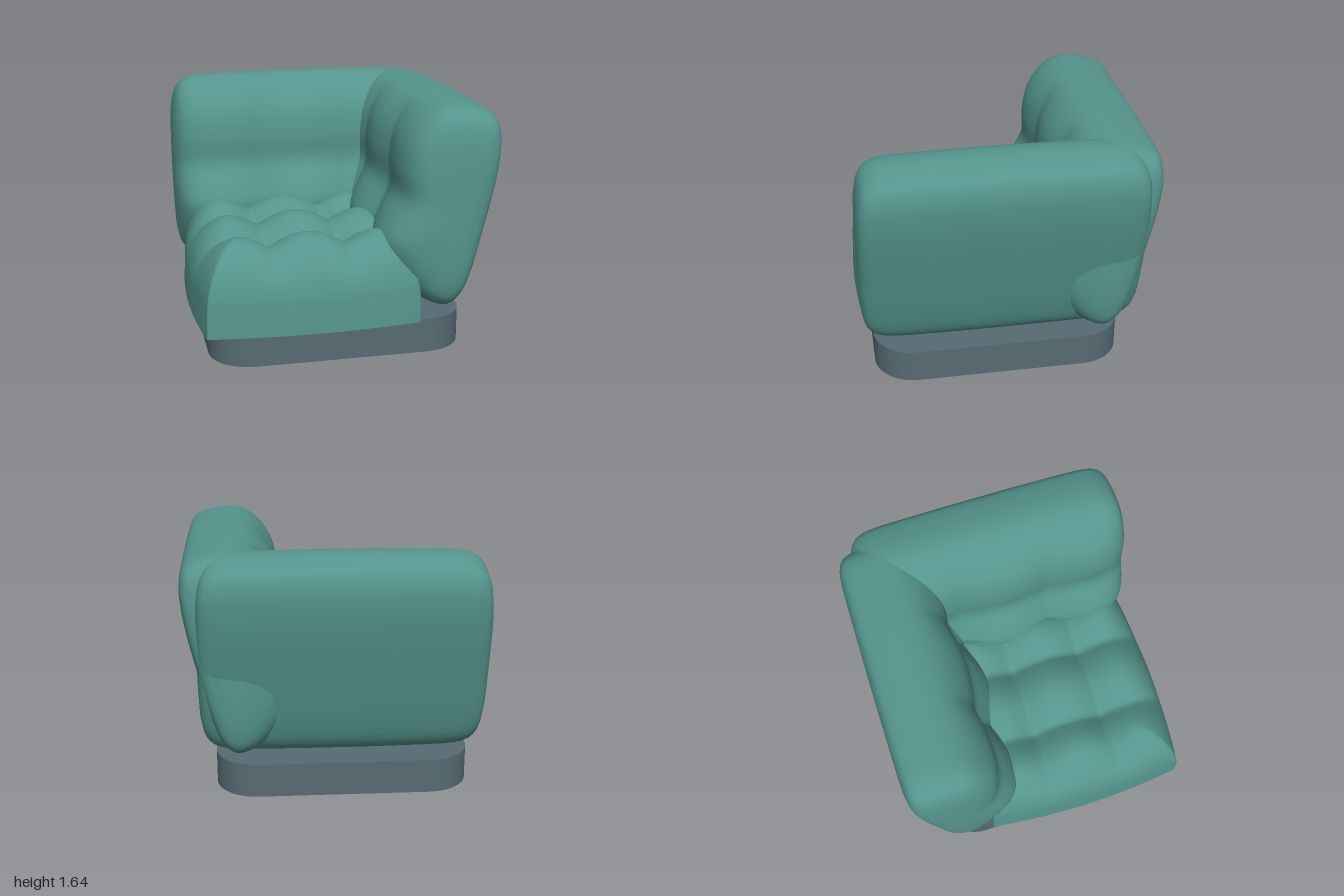
import * as THREE from 'three';

const fabric = new THREE.MeshStandardMaterial({ color: 0x55958d });
fabric.name = 'tealFabric';
const plinthGrey = new THREE.MeshStandardMaterial({ color: 0x566b73 });
plinthGrey.name = 'slateGrey';

// Closed cross-section (x, y) of the leaning upright cushion
const SECTION = [
  [0.64, 0.28], [0.73, 0.35], [0.8, 0.52], [0.86, 0.75], [0.91, 0.95], [0.955, 1.15], [0.985, 1.35],
  [0.985, 1.47], [0.95, 1.57], [0.86, 1.615], [0.68, 1.645], [0.55, 1.61], [0.45, 1.53], [0.37, 1.4],
  [0.335, 1.22], [0.335, 1.04], [0.25, 0.88], [0.2, 0.74], [0.25, 0.58], [0.36, 0.43], [0.48, 0.33],
];

function addMesh(parent, geometry, material, name) {
  const mesh = new THREE.Mesh(geometry, material);
  mesh.name = name;
  parent.add(mesh);
  return mesh;
}

// Upright cushion lofted along z; mirrored swaps it across the corner diagonal
function uprightGeometry(mirrored) {
  const cx = 0.65, cy = 0.95, cz = 0.055, half = 0.94, around = 84;
  const curve = new THREE.CatmullRomCurve3(SECTION.map(([x, y]) => new THREE.Vector3(x, y, 0)), true);
  const outline = curve.getPoints(around).slice(0, around);

  // Rings: even along the body, then closing in on rounded ends
  const rings = [];
  for (let i = -28; i <= 28; i++) {
    const t = 0.84 * i / 28;
    rings.push([t, Math.pow(1 - Math.pow(Math.abs(t), 14), 0.2)]);
  }
  for (const s of [0.97, 0.945, 0.91, 0.87, 0.8, 0.65, 0.4, 0.15, 0]) {
    const t = Math.pow(1 - Math.pow(s, 5), 1 / 14);
    rings.push([t, s]);
    rings.unshift([-t, s]);
  }

  const positions = [], index = [];
  for (const [t, s] of rings) {
    const scale = s * (1 - 0.02 * t * t);
    const z = cz + half * t;
    const dent = 1 - Math.abs(Math.cos(Math.PI * half * t / 0.63));
    for (const p of outline) {
      // Tufting only on the inner face, deepest at the lower roll
      const inner = 1 - THREE.MathUtils.smoothstep(p.x, 0.32, 0.6);
      const low = 1 - 0.45 * THREE.MathUtils.smoothstep(p.y, 0.85, 1.1);
      const px = p.x + 0.075 * dent * inner * low;
      const sx = px < cx ? scale * scale : scale;
      const x = cx + (px - cx) * sx;
      const y = cy + (p.y - cy) * scale;
      if (mirrored) positions.push(-z, y, -x);
      else positions.push(x, y, z);
    }
  }
  for (let i = 0; i < rings.length - 1; i++) {
    for (let j = 0; j < around; j++) {
      const k = (j + 1) % around;
      const a = i * around + j, b = i * around + k;
      const c = b + around, d = a + around;
      if (mirrored) index.push(a, c, b, a, d, c);
      else index.push(a, b, c, a, c, d);
    }
  }
  const geometry = new THREE.BufferGeometry();
  geometry.setAttribute('position', new THREE.Float32BufferAttribute(positions, 3));
  geometry.setIndex(index);
  geometry.computeVertexNormals();
  return geometry;
}

// Tufted seat surface: a square sheet puffed up from its bowed border
function seatGeometry(top) {
  const geometry = new THREE.PlaneGeometry(2, 2, 72, 72);
  geometry.rotateX(top ? -Math.PI / 2 : Math.PI / 2);
  const pos = geometry.attributes.position;
  const rise = (a) => Math.pow(Math.max(0, 1 - Math.pow(Math.abs(a), 6)), 0.417);
  const spread = (a) => 0.4 * a + 0.6 * Math.sin(a * Math.PI / 2);
  const dent = (w) => 1 - Math.abs(Math.cos(Math.PI * w / 0.5));
  for (let i = 0; i < pos.count; i++) {
    const a = spread(pos.getX(i)), b = spread(pos.getZ(i));
    const u = a * (0.75 - 0.05 * b * b), v = b * (0.75 - 0.05 * a * a);
    const h = Math.min(rise(a), rise(b));
    const y = top ? 0.23 + 0.6 * h - 0.095 * h * h * h * (dent(u) + dent(v)) : 0.23;
    pos.setXYZ(i, u - 0.25, y, v + 0.25);
  }
  geometry.computeVertexNormals();
  return geometry;
}

// Square plinth with rounded corners
function plinthGeometry() {
  const h = 0.8475, r = 0.28, q = Math.PI / 2;
  const shape = new THREE.Shape();
  [[1, 1], [-1, 1], [-1, -1], [1, -1]].forEach(([sx, sy], i) => {
    shape.absarc(sx * (h - r), sy * (h - r), r, i * q, (i + 1) * q, false);
  });
  shape.closePath();
  const geometry = new THREE.ExtrudeGeometry(shape, { depth: 0.23, bevelEnabled: false, curveSegments: 6 });
  geometry.rotateX(-Math.PI / 2);
  geometry.translate(-0.0625, 0, 0.0625);
  return geometry;
}

export function createModel() {
  const group = new THREE.Group();
  group.name = 'cornerSofa';
  addMesh(group, plinthGeometry(), plinthGrey, 'plinth');
  const seat = new THREE.Group();
  seat.name = 'seat';
  group.add(seat);
  addMesh(seat, seatGeometry(true), fabric, 'seatCushion');
  addMesh(seat, seatGeometry(false), fabric, 'seatUnderside');
  addMesh(group, uprightGeometry(false), fabric, 'leftCushion');
  addMesh(group, uprightGeometry(true), fabric, 'backCushion');
  return group;
}
